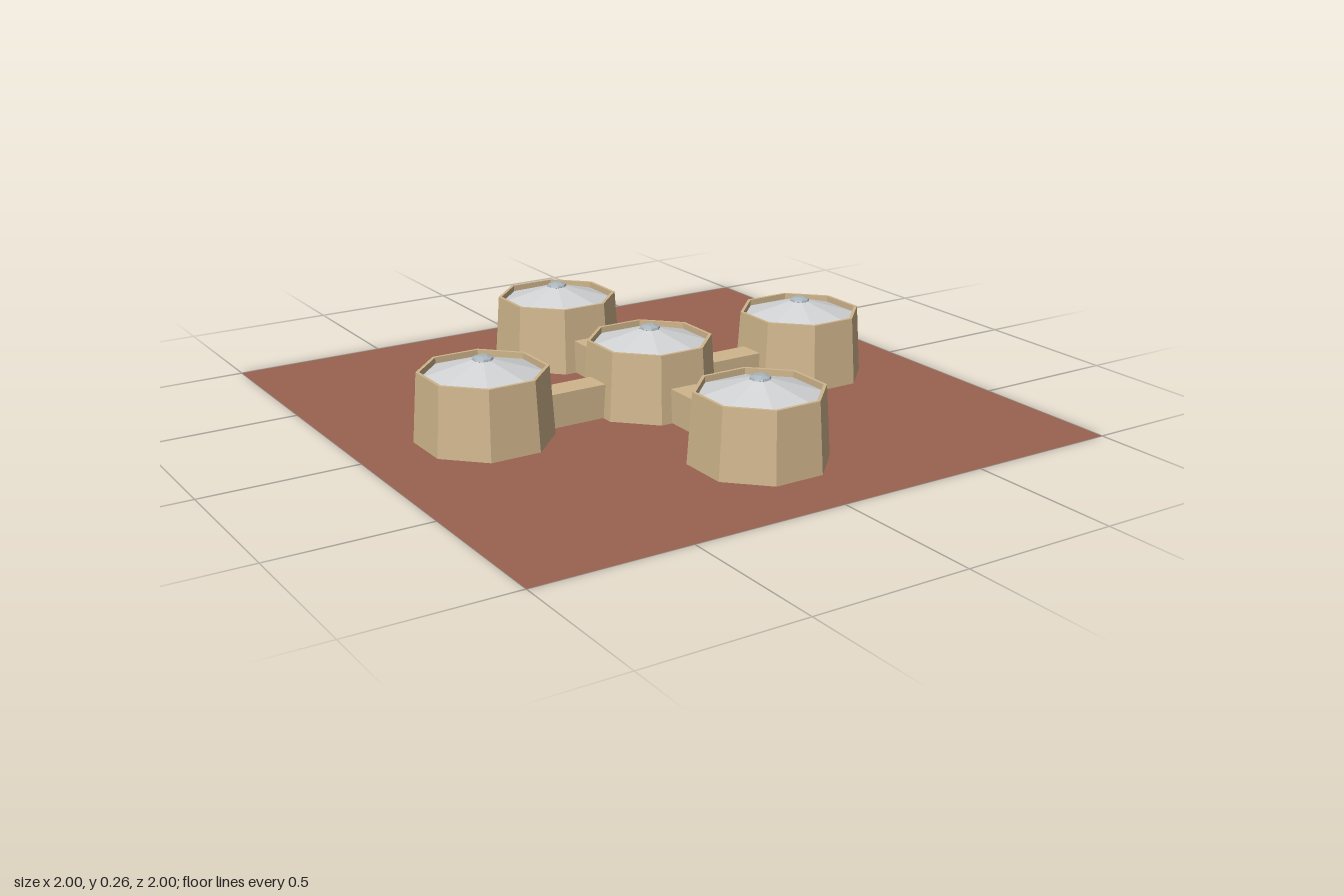
import * as THREE from 'three';

const sand = new THREE.MeshStandardMaterial({ color: 0xcfb58c });
sand.name = 'sandstone';
const soil = new THREE.MeshStandardMaterial({ color: 0x9a6150, side: THREE.DoubleSide });
soil.name = 'red soil';
const silver = new THREE.MeshStandardMaterial({ color: 0xd0d2d4 });
silver.name = 'pale metal';
const steel = new THREE.MeshStandardMaterial({ color: 0xa9b4bb });
steel.name = 'blue grey metal';

const SPACING = 0.595;

// Faceted eight-sided solid from [distance to flat side, height] points
function octagon(name, profile, material) {
  const toCorner = 1 / Math.cos(Math.PI / 8);
  const points = profile.map(([r, y]) => new THREE.Vector2(r * toCorner, y));
  const geometry = new THREE.LatheGeometry(points, 8).rotateY(Math.PI / 8).toNonIndexed();
  geometry.computeVertexNormals();
  const mesh = new THREE.Mesh(geometry, material);
  mesh.name = name;
  return mesh;
}

// Tapered walls with a low parapet around a shallow roof and a vent cap
function createTower(name, x, z) {
  const tower = new THREE.Group();
  tower.name = name;
  tower.position.set(x, 0, z);
  tower.add(
    octagon('walls', [[0.2, 0], [0.186, 0.222], [0.176, 0.222], [0.176, 0.195]], sand),
    octagon('roof', [[0.177, 0.202], [0.075, 0.236], [0, 0.262]], silver),
    octagon('ventCap', [[0.022, 0.246], [0.031, 0.252], [0.029, 0.258], [0.014, 0.265], [0, 0.265]], steel)
  );
  return tower;
}

export function createModel() {
  const model = new THREE.Group();
  model.name = 'settlement';

  const ground = new THREE.Mesh(new THREE.PlaneGeometry(2, 2).rotateX(-Math.PI / 2), soil);
  ground.name = 'ground';
  model.add(ground, createTower('centralTower', 0, 0));

  // Four outer towers, each joined to the centre by a passage
  ['front', 'left', 'back', 'right'].forEach((side, i) => {
    const angle = i * Math.PI / 2;
    const dx = Math.sin(angle), dz = Math.cos(angle);
    model.add(createTower(side + 'Tower', dx * SPACING, dz * SPACING));

    const passage = new THREE.Mesh(new THREE.BoxGeometry(0.09, 0.11, 0.23), sand);
    passage.name = side + 'Passage';
    passage.position.set(dx * SPACING / 2, 0.056, dz * SPACING / 2);
    passage.rotation.y = angle;
    model.add(passage);
  });
  return model;
}
